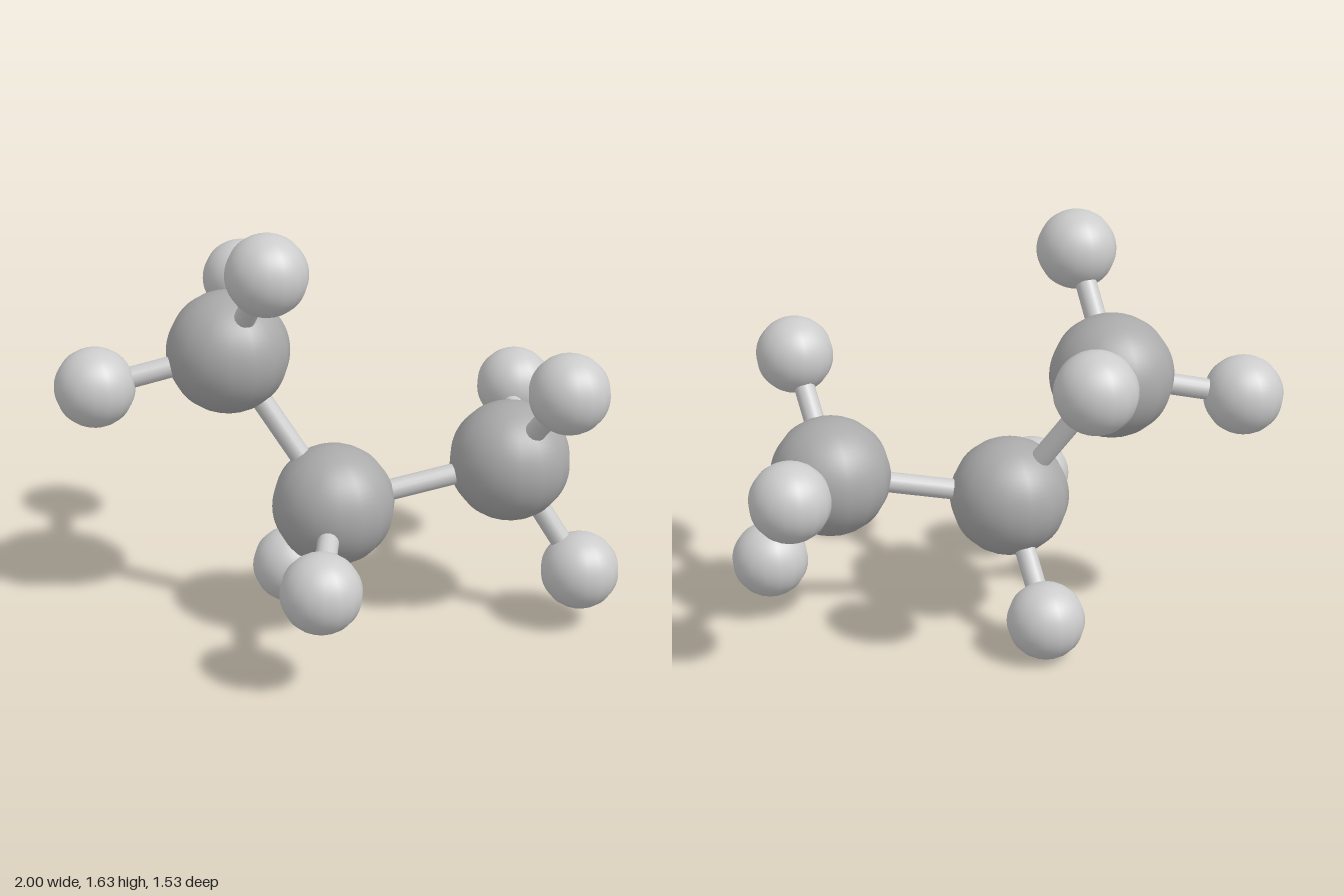
import * as THREE from 'three';

const LARGE_RADIUS = 0.23;
const SMALL_RADIUS = 0.149;
const BOND_RADIUS = 0.04;

// Each large ball with the small balls attached to it
const clusters = [
  { name: 'upper', center: [-0.374, 1.103, -0.197],
    small: [[-0.372, 1.489, 0.13], [-0.853, 1.003, -0.331], [-0.118, 1.233, -0.613]] },
  { name: 'middle', center: [-0.088, 0.538, 0.091],
    small: [[-0.358, 0.412, 0.503], [-0.104, 0.154, -0.236]] },
  { name: 'side', center: [0.569, 0.655, 0.28],
    small: [[0.594, 1.032, 0.616], [0.848, 0.775, -0.128], [0.765, 0.238, 0.491]] },
];

export function createModel() {
  const model = new THREE.Group();
  model.name = 'ballAndStickMolecule';

  const lightGrey = new THREE.MeshStandardMaterial({ color: 0xcccccc });
  const darkGrey = new THREE.MeshStandardMaterial({ color: 0xaaaaaa });
  const largeBall = new THREE.SphereGeometry(LARGE_RADIUS, 16, 32);
  const smallBall = new THREE.SphereGeometry(SMALL_RADIUS, 16, 32);
  const up = new THREE.Vector3(0, 1, 0);

  function addBall(name, geometry, material, position) {
    const ball = new THREE.Mesh(geometry, material);
    ball.name = name;
    ball.position.set(...position);
    model.add(ball);
  }

  // Round stick running from one ball centre to another
  function addBond(name, from, to) {
    const a = new THREE.Vector3(...from);
    const b = new THREE.Vector3(...to);
    const length = a.distanceTo(b);
    const bond = new THREE.Mesh(
      new THREE.CylinderGeometry(BOND_RADIUS, BOND_RADIUS, length, 16), lightGrey);
    bond.name = name;
    bond.position.copy(a).lerp(b, 0.5);
    bond.quaternion.setFromUnitVectors(up, b.sub(a).normalize());
    model.add(bond);
  }

  // Balls and their outer sticks
  for (const { name, center, small } of clusters) {
    addBall(`${name}LargeBall`, largeBall, darkGrey, center);
    small.forEach((position, i) => {
      addBall(`${name}SmallBall${i + 1}`, smallBall, lightGrey, position);
      addBond(`${name}Bond${i + 1}`, center, position);
    });
  }

  // Chain sticks joining the large balls
  for (let i = 1; i < clusters.length; i++) {
    addBond(`chainBond${i}`, clusters[i - 1].center, clusters[i].center);
  }

  return model;
}
